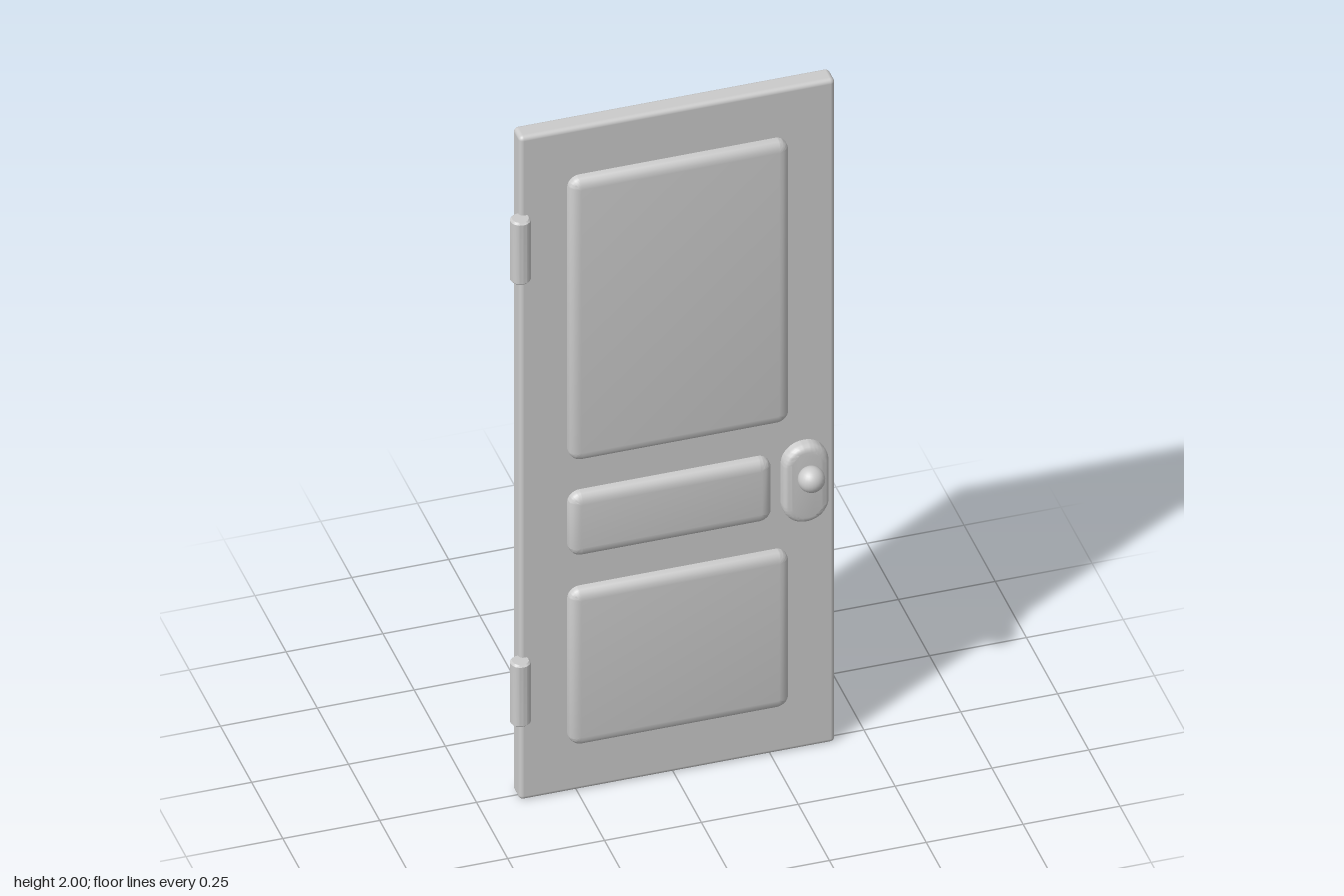
import * as THREE from 'three';
import { RoundedBoxGeometry } from 'three/addons/geometries/RoundedBoxGeometry.js';
import { toCreasedNormals } from 'three/addons/utils/BufferGeometryUtils.js';

const material = new THREE.MeshStandardMaterial({ color: 0xcccccc });

function addMesh(parent, name, geometry, x, y, z) {
  const mesh = new THREE.Mesh(geometry, material);
  mesh.name = name;
  mesh.position.set(x, y, z);
  parent.add(mesh);
  return mesh;
}

function roundedRect(w, h, r) {
  const x = w / 2, y = h / 2;
  const shape = new THREE.Shape();
  shape.absarc(x - r, y - r, r, 0, Math.PI / 2);
  shape.absarc(-x + r, y - r, r, Math.PI / 2, Math.PI);
  shape.absarc(-x + r, -y + r, r, Math.PI, Math.PI * 1.5);
  shape.absarc(x - r, -y + r, r, Math.PI * 1.5, Math.PI * 2);
  shape.closePath();
  return shape;
}

// Plate with rounded corners and rounded rims, running through the door to both faces
function plate(w, h, depth, radius, bevel, bevelDepth) {
  const shape = roundedRect(w - 2 * bevel, h - 2 * bevel, radius - bevel);
  const geometry = new THREE.ExtrudeGeometry(shape, {
    depth: depth - 2 * bevelDepth, curveSegments: 8,
    bevelEnabled: true, bevelSize: bevel, bevelThickness: bevelDepth, bevelSegments: 4,
  });
  geometry.translate(0, 0, -(depth - 2 * bevelDepth) / 2);
  return toCreasedNormals(geometry, 0.6);
}

export function createModel() {
  const door = new THREE.Group();
  door.name = 'door';

  addMesh(door, 'doorSlab', new RoundedBoxGeometry(0.815, 2, 0.056, 4, 0.012), 0.01, 1, 0);

  // Raised panels: left, right, bottom, top
  const panels = [
    ['upperPanel', -0.275, 0.292, 1.008, 1.858],
    ['middlePanel', -0.275, 0.247, 0.72, 0.908],
    ['lowerPanel', -0.275, 0.292, 0.15, 0.618],
  ];
  for (const [name, x0, x1, y0, y1] of panels) {
    addMesh(door, name, plate(x1 - x0, y1 - y0, 0.114, 0.032, 0.028, 0.02),
      (x0 + x1) / 2, (y0 + y1) / 2, 0);
  }

  // Lock plate with a knob on each face
  addMesh(door, 'lockPlate', plate(0.118, 0.232, 0.123, 0.058, 0.018, 0.018), 0.335, 0.815, 0);
  for (const [name, side] of [['frontKnob', 1], ['backKnob', -1]]) {
    addMesh(door, name, new THREE.SphereGeometry(0.034, 24, 16), 0.335, 0.855, side * 0.092);
  }

  // Hinge barrels with softened ends
  const r = 0.026, half = 0.0935, chamfer = 0.005;
  const profile = [[0, -half], [r - chamfer, -half], [r, -half + chamfer],
    [r, half - chamfer], [r - chamfer, half], [0, half]].map(([x, y]) => new THREE.Vector2(x, y));
  const barrel = toCreasedNormals(new THREE.LatheGeometry(profile, 16), 0.6);
  addMesh(door, 'upperHinge', barrel, -0.398, 1.671, 0.035);
  addMesh(door, 'lowerHinge', barrel, -0.398, 0.337, 0.035);

  return door;
}
